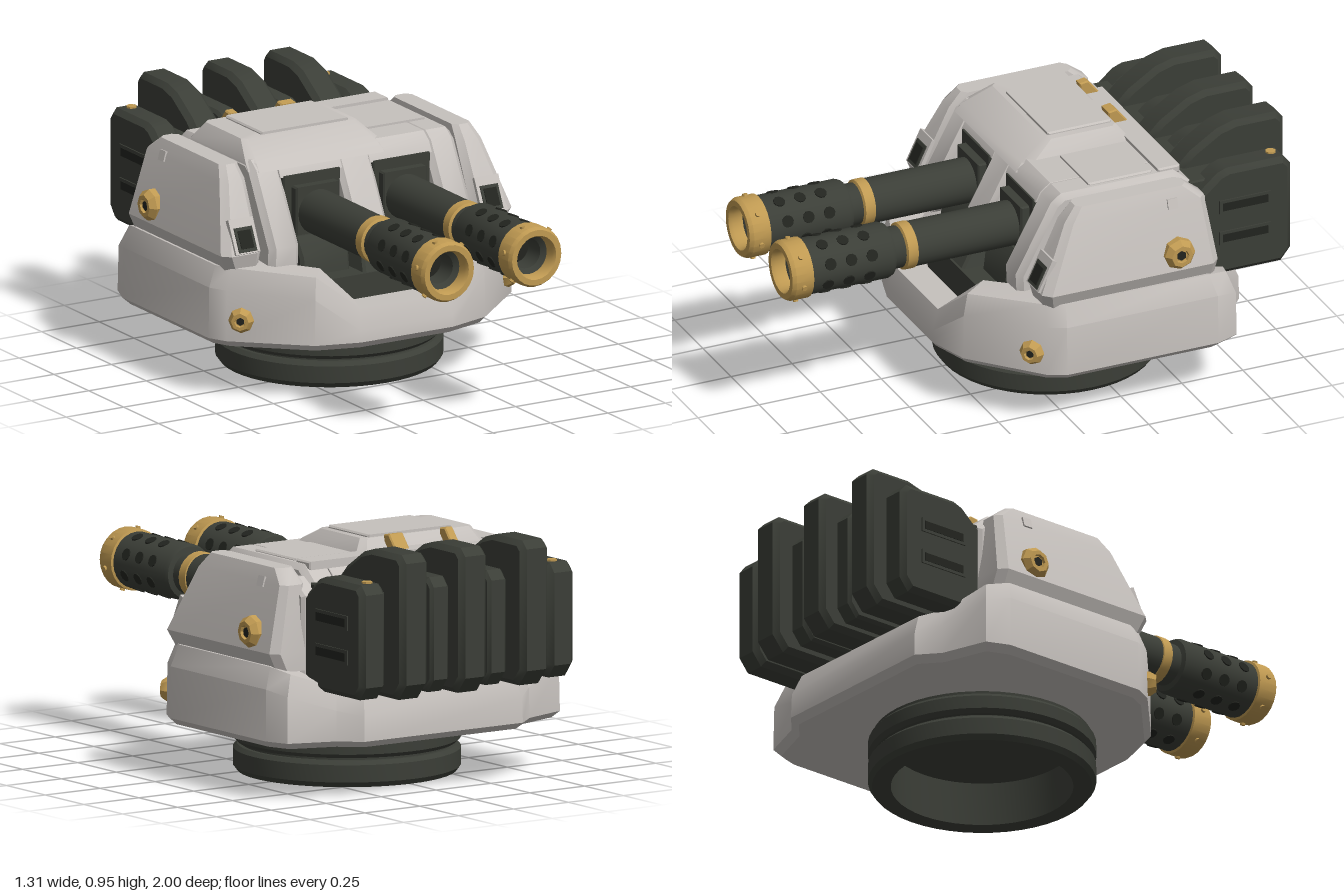
import * as THREE from 'three';
import { toCreasedNormals } from 'three/addons/utils/BufferGeometryUtils.js';

const paint = (name, color) => Object.assign(new THREE.MeshStandardMaterial({ color }), { name });

export function createModel() {
  const white = paint('pale armour', 0xc6c1bd);
  const dark = paint('dark metal', 0x3b3e37);
  const gold = paint('brass', 0xc09a52);
  const black = paint('deep recess', 0x22241f);
  const model = new THREE.Group();
  model.name = 'twinGunTurret';

  function add(name, geometry, material, parent = model) {
    const mesh = new THREE.Mesh(toCreasedNormals(geometry, 0.55), material);
    mesh.name = name;
    parent.add(mesh);
    return mesh;
  }

  // Closed skin over stacked loops of [x, y, z], listed from bottom to top
  function loft(rings) {
    const n = rings[0].length;
    const pos = rings.flat(2);
    const idx = [];
    for (let r = 0; r < rings.length - 1; r++) {
      for (let i = 0; i < n; i++) {
        const a = r * n + i, b = r * n + (i + 1) % n;
        idx.push(a, b, b + n, a, b + n, a + n);
      }
    }
    [rings[0], rings[rings.length - 1]].forEach((ring, end) => {
      const c = pos.length / 3, base = end ? (rings.length - 1) * n : 0;
      for (let k = 0; k < 3; k++) pos.push(ring.reduce((s, p) => s + p[k], 0) / n);
      for (let i = 0; i < n; i++) {
        const a = base + i, b = base + (i + 1) % n;
        idx.push(c, ...(end ? [a, b] : [b, a]));
      }
    });
    const g = new THREE.BufferGeometry();
    g.setAttribute('position', new THREE.Float32BufferAttribute(pos, 3));
    g.setIndex(idx);
    return g;
  }

  // Rectangle loop with cut corners
  const rect = (y, x0, x1, z0, z1, c) => [
    [x1 - c, z1], [x1, z1 - c], [x1, z0 + c], [x1 - c, z0],
    [x0 + c, z0], [x0, z0 + c], [x0, z1 - c], [x0 + c, z1],
  ].map(([x, z]) => [x, y, z]);

  // Side profile of [z, y] points spread from x0 to x1
  function slab(profile, x0, x1, b = 0.012) {
    const shape = new THREE.Shape(profile.map(([z, y]) => new THREE.Vector2(-z, y)));
    return new THREE.ExtrudeGeometry(shape, {
      depth: x1 - x0 - 2 * b, bevelEnabled: true, bevelSize: b,
      bevelThickness: b, bevelOffset: -b, bevelSegments: 1,
    }).rotateY(Math.PI / 2).translate(x0 + b, 0, 0);
  }

  const block = (x0, x1, y0, y1, z0, z1) =>
    slab([[z0, y0], [z1, y0], [z1, y1], [z0, y1]], x0, x1, 0.006);
  const lathe = (pts, seg) => new THREE.LatheGeometry(pts.map(p => new THREE.Vector2(...p)), seg);

  // Hollow base ring with a groove
  add('baseRing', lathe([
    [0, 0.17], [0.34, 0.17], [0.34, 0], [0.41, 0], [0.425, 0.02], [0.425, 0.085], [0.41, 0.1],
    [0.395, 0.1], [0.395, 0.11], [0.41, 0.11], [0.425, 0.125], [0.425, 0.175], [0.41, 0.19], [0.41, 0.22],
  ], 48).translate(0, 0, -0.175), dark);

  // Lower hull: half outline as [x, z, rim height], mirrored
  const half = [[0.2, 0.385, 0.35], [0.37, 0.335, 0.48], [0.62, 0.11, 0.5], [0.655, 0.04, 0.5],
    [0.655, -0.58, 0.5], [0.62, -0.67, 0.48], [0.44, -0.73, 0.42], [0.36, -0.8, 0.4]];
  const outline = [...half, ...half.map(([x, z, y]) => [-x, z, y]).reverse()];
  const hullRing = (k, height) => outline.map(([x, z, t]) => [x * k, height(t), -0.15 + (z + 0.15) * k]);
  add('lowerHull', loft([
    hullRing(0.96, () => 0.2), hullRing(1, () => 0.225), hullRing(0.995, t => t - 0.08),
    hullRing(0.945, t => t), hullRing(0.74, t => t), hullRing(0.72, () => 0.29),
  ]), white);

  // Dark well and gun cradles
  add('gunWell', block(-0.25, 0.25, 0.28, 0.43, -0.2, 0.21), dark);
  add('wellRidge', loft([rect(0.42, -0.08, 0.08, -0.1, 0.21, 0.01), rect(0.5, -0.055, 0.055, -0.1, 0.15, 0.01)]), dark);

  // Upper body in columns, leaving two gun recesses
  const roof = [[0, 0.83], [-0.04, 0.86], [-0.5, 0.86], [-0.58, 0.79], [-0.6, 0.44]];
  const full = [[0.14, 0.46], [0.145, 0.56], ...roof];
  add('centreNose', slab([[0.12, 0.5], [0.14, 0.57], ...roof], -0.075, 0.075, 0.018), white);
  add('innerBody', slab([[0.02, 0.46], [0.02, 0.56], [-0.07, 0.8], [-0.52, 0.82], [-0.6, 0.76], [-0.6, 0.44]], -0.5, 0.5), white);
  for (const s of [-1, 1]) {
    const span = (a, b) => (s > 0 ? [a, b] : [-b, -a]);
    add('recessRoof', slab([[-0.06, 0.79], [0.02, 0.79], ...roof.slice(0, 4), [-0.58, 0.6], [-0.06, 0.6]],
      ...span(0.06, 0.33), 0.002), white);
    add('recessPillar', slab(full, ...span(0.315, 0.445), 0.022), white);
    add('recessBack', block(...span(0.07, 0.32), 0.43, 0.795, -0.3, 0.025), dark);
    add('gunCradle', slab([[-0.1, 0.42], [0.13, 0.42], [0.12, 0.5], [0.07, 0.57], [-0.1, 0.57]], ...span(0.09, 0.3)), dark);
    add('gunCollar', block(...span(0.095, 0.285), 0.55, 0.755, -0.1, 0.06), dark);

    // Side cheek
    const cheekRing = (y, x0, x1, z0, z1, c) => rect(y, ...span(x0, x1), z0, z1, c);
    add('cheek', loft([
      cheekRing(0.48, 0.46, 0.6, -0.6, 0.1, 0.03), cheekRing(0.55, 0.46, 0.632, -0.6, 0.12, 0.03),
      cheekRing(0.8, 0.46, 0.568, -0.57, 0, 0.025), cheekRing(0.855, 0.468, 0.545, -0.5, -0.05, 0.02),
    ]), white);

    // Sight window in a frame
    const sight = new THREE.Group();
    sight.name = 'sight';
    sight.position.set(s * 0.535, 0.605, 0.094);
    sight.rotation.x = -0.45;
    model.add(sight);
    add('sightFrame', new THREE.BoxGeometry(0.105, 0.135, 0.02).translate(0, 0.01, 0), white, sight);
    add('sightRim', new THREE.BoxGeometry(0.078, 0.095, 0.008).translate(0, -0.005, 0.01), dark, sight);
    add('sightGlass', new THREE.BoxGeometry(0.055, 0.07, 0.008).translate(0, -0.005, 0.013), black, sight);

    // Small side plate on the cheek
    const plate = add('cheekPlate', new THREE.BoxGeometry(0.012, 0.04, 0.04), white);
    plate.position.set(s * 0.568, 0.8, -0.43);
    plate.rotation.z = s * 0.27;

    // Hexagonal bolts on the hull corner and the cheek
    for (const [x, y, z, turn, r] of [[0.575, 0.31, 0.145, 0.73, 0.042], [0.615, 0.615, -0.435, Math.PI / 2, 0.054]]) {
      const bolt = new THREE.Group();
      bolt.name = 'bolt';
      bolt.position.set(s * x, y, z);
      bolt.rotation.y = s * turn;
      model.add(bolt);
      add('boltHead', lathe([[r * 1.15, -0.02], [r * 1.15, 0.012], [r * 0.8, 0.035], [r * 0.5, 0.035],
        [r * 0.45, 0.024], [0, 0.024]], 8).rotateX(Math.PI / 2), gold, bolt);
      add('boltSocket', new THREE.CylinderGeometry(r * 0.36, r * 0.36, 0.006, 6)
        .rotateX(Math.PI / 2).translate(0, 0, 0.025), black, bolt);
    }
  }

  // Raised roof plate, offset to one side, with trim
  add('roofPlate', loft([rect(0.82, -0.445, 0.16, -0.48, 0.01, 0.03), rect(0.85, -0.44, 0.15, -0.47, -0.02, 0.03),
    rect(0.912, -0.4, 0.1, -0.42, -0.13, 0.02)]), white);
  add('roofHatch', block(-0.31, 0.07, 0.9, 0.922, -0.41, -0.15), white);
  add('rearRoofStrip', block(-0.28, 0.42, 0.84, 0.872, -0.53, -0.44), white);
  add('sideRoofPanel', block(0.15, 0.41, 0.84, 0.868, -0.42, -0.16), white);
  for (const [x, w] of [[-0.262, 0.038], [-0.022, 0.066]]) {
    add('roofClip', slab([[-0.43, 0.86], [-0.425, 0.92], [-0.46, 0.925], [-0.51, 0.865], [-0.5, 0.84]],
      x - w / 2, x + w / 2, 0.005), gold);
  }

  // Twin guns along z
  for (const s of [-1, 1]) {
    const gun = new THREE.Group();
    gun.name = 'gun';
    gun.position.set(s * 0.19, 0.65, 0);
    model.add(gun);
    const turned = (name, pts, mat) => add(name, lathe(pts, 24).rotateX(Math.PI / 2), mat, gun);
    turned('barrel', [[0.086, -0.05], [0.086, 0.48]], dark);
    turned('barrelBand', [[0.08, 0.47], [0.09, 0.475], [0.09, 0.515], [0.08, 0.52]], gold);
    turned('barrelNeck', [[0.08, 0.515], [0.08, 0.58]], dark);
    turned('muzzleBrake', [[0.08, 0.565], [0.1, 0.57], [0.107, 0.585], [0.107, 0.92]], dark);
    turned('muzzleRing', [[0.1, 0.91], [0.116, 0.915], [0.116, 0.985], [0.107, 1], [0.085, 1], [0.077, 0.985], [0.077, 0.94]], gold);
    turned('bore', [[0.077, 0.945], [0.058, 0.93], [0.058, 0.84]], dark);
    turned('boreEnd', [[0.06, 0.845], [0, 0.845]], black);

    // Vent holes and ring studs
    const around = (name, angle, z, r, radius, height, mat) => add(name,
      new THREE.CylinderGeometry(r, r, height, 10).translate(0, radius, 0).rotateZ(angle).translate(0, 0, z), mat, gun);
    for (let i = 0; i < 8; i++) {
      const angle = i * Math.PI / 4 + Math.PI / 8;
      const offset = i % 2 ? 0.01 : 0;
      for (const z of [0.67, 0.755, 0.84]) around('ventHole', angle, z + offset, 0.023, 0.1055, 0.008, black);
    }
    for (let i = 0; i < 6; i++) around('ringStud', i * Math.PI / 3 + 0.3, 0.955, 0.01, 0.117, 0.014, gold);
  }

  // Rear cooling fins on a common core
  const tall = [[-0.57, 0.41], [-0.57, 0.81], [-0.62, 0.86], [-0.73, 0.93], [-0.8, 0.95], [-0.97, 0.95],
    [-1, 0.92], [-1, 0.46], [-0.95, 0.4], [-0.6, 0.4]];
  const low = [[-0.58, 0.44], [-0.58, 0.76], [-0.66, 0.83], [-0.7, 0.845], [-0.93, 0.845], [-0.96, 0.81],
    [-0.96, 0.46], [-0.92, 0.41], [-0.61, 0.41]];
  add('finCore', block(-0.44, 0.44, 0.45, 0.8, -0.885, -0.56), dark);
  for (const x of [-0.28, 0, 0.268]) add('tallFin', slab(tall, x - 0.063, x + 0.063, 0.02), dark);
  for (const x of [-0.134, 0.128]) add('shortFin', slab(low, x - 0.042, x + 0.042, 0.012), dark);
  for (const s of [-1, 1]) {
    add('outerFin', slab(low, s * 0.428 - 0.058, s * 0.428 + 0.058, 0.02), dark);
    for (const y of [0.565, 0.695]) {
      add('finSlotRim', new THREE.BoxGeometry(0.008, 0.055, 0.21).translate(s * 0.487, y, -0.765), dark);
      add('finSlot', new THREE.BoxGeometry(0.008, 0.032, 0.185).translate(s * 0.489, y, -0.765), black);
    }
    add('finStud', new THREE.CylinderGeometry(0.02, 0.02, 0.012, 8).translate(s * 0.42, 0.846, -0.9), gold);
  }

  return model;
}
